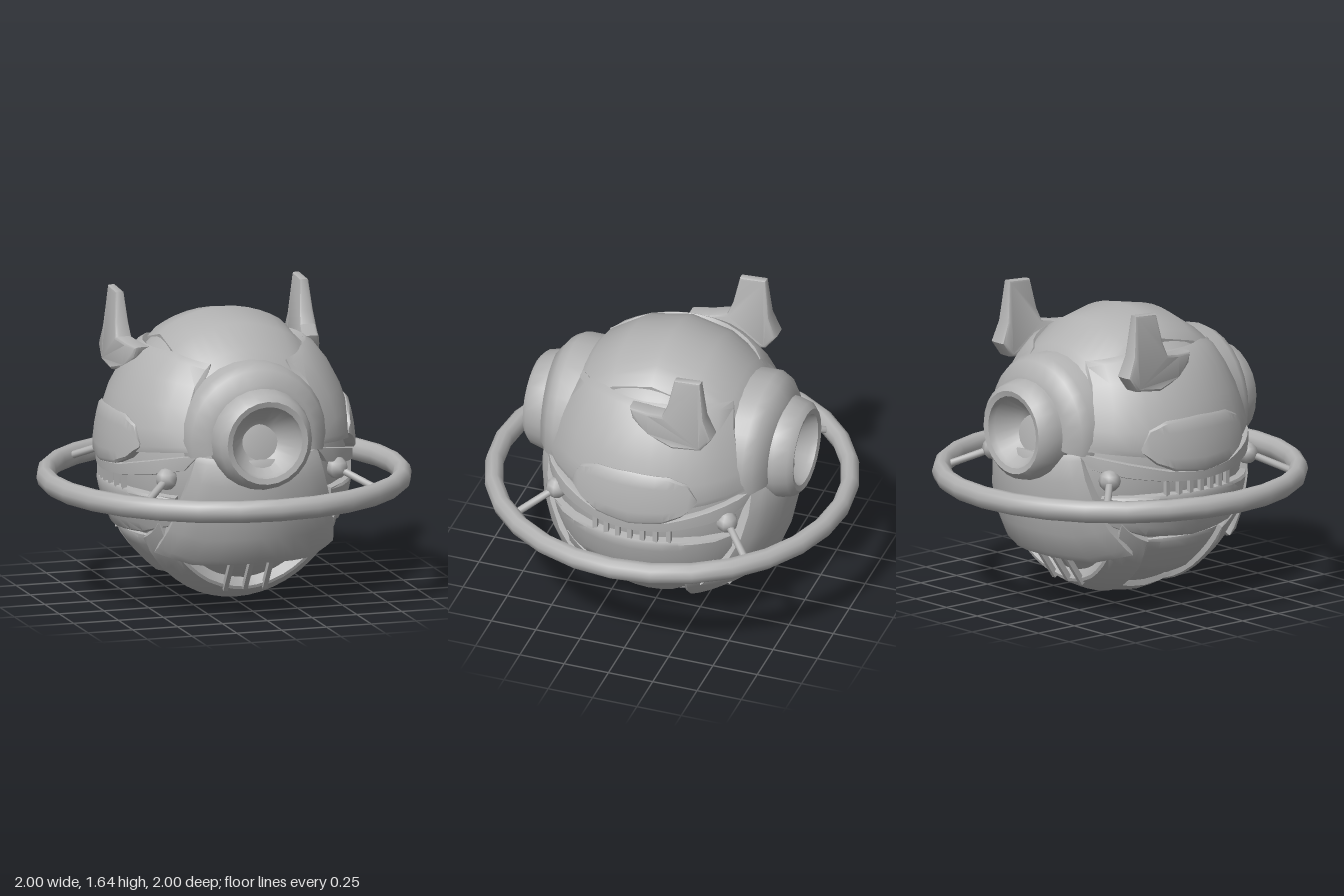
import * as THREE from 'three';
import { toCreasedNormals } from 'three/addons/utils/BufferGeometryUtils.js';

const C = new THREE.Vector3(0, 0.79, 0);          // body centre
const R = new THREE.Vector3(0.67, 0.77, 0.67);    // body radii
const V = (x, y, z) => new THREE.Vector3(x, y, z);

export function createModel() {
  const model = new THREE.Group();
  model.name = 'hoveringHead';
  const metal = new THREE.MeshStandardMaterial({ color: 0xb2b2b2 });
  metal.name = 'plain grey';

  const add = (name, geo, crease = 0.65) => {
    const mesh = new THREE.Mesh(toCreasedNormals(geo, crease), metal);
    mesh.name = name;
    model.add(mesh);
    return mesh;
  };

  // Closed skin through loops of points, capped at both ends and turned outward
  function loft(loops) {
    const mid = (l) => l.reduce((a, p) => a.add(p), V(0, 0, 0)).divideScalar(l.length);
    const n = loops[0].length;
    const first = mid(loops[0]), last = mid(loops[loops.length - 1]);
    const rings = [loops[0].map(() => first), ...loops, loops[0].map(() => last)];
    const pts = rings.flat(), idx = [];
    for (let i = 0; i < rings.length - 1; i++)
      for (let j = 0; j < n; j++) {
        const a = i * n + j, b = i * n + (j + 1) % n;
        if (i > 0) idx.push(a, b, a + n);
        if (i < rings.length - 2) idx.push(b, b + n, a + n);
      }
    let volume = 0;
    const o = first;
    for (let k = 0; k < idx.length; k += 3) {
      const [a, b, c] = [0, 1, 2].map((q) => pts[idx[k + q]].clone().sub(o));
      volume += a.dot(b.cross(c));
    }
    if (volume < 0) idx.reverse();
    const geo = new THREE.BufferGeometry().setFromPoints(pts);
    geo.setIndex(idx);
    return geo;
  }

  // Point on the body ellipsoid, found along an axis and scaled from the centre
  function onBody(axis, sign, u, v, s) {
    const p = axis === 'x' ? V(0, v - C.y, u) : axis === 'z' ? V(u, v - C.y, 0) : V(u, 0, v);
    const q = p.clone().divide(R);
    p[axis] = sign * R[axis] * Math.sqrt(Math.max(0, 1 - q.lengthSq()));
    return p.multiplyScalar(s).add(C);
  }

  // Armour plate between two edge curves, following the body
  function plate(name, axis, sign, upper, lower, s0, s1 = s0, depth = 0.1) {
    const loops = [], cols = (upper.length - 1) * 3;
    const at = (l, t) => {
      const i = Math.min(Math.floor(t), l.length - 2), f = t - i;
      return [0, 1].map((k) => l[i][k] + (l[i + 1][k] - l[i][k]) * f);
    };
    for (let c = 0; c <= cols; c++) {
      const a = at(upper, c / 3), b = at(lower, c / 3), loop = [];
      const rim = c === 0 || c === cols ? 0.015 : 0;
      const put = (t, off) => loop.push(onBody(axis, sign, a[0] + (b[0] - a[0]) * t,
        a[1] + (b[1] - a[1]) * t, s0 + (s1 - s0) * t - off));
      put(0, depth);
      put(0, 0.015);
      for (const t of [0.06, 0.25, 0.5, 0.75, 0.94]) put(t, rim);
      put(1, 0.015);
      put(1, depth);
      loops.push(loop);
    }
    add(name, loft(loops));
  }
  // Complete a half curve by mirroring its first coordinate
  const both = (half) => [...half, ...half.filter((p) => p[0] !== 0).reverse().map(([u, v]) => [-u, v])];

  // Core
  const core = new THREE.SphereGeometry(1, 32, 24);
  core.scale(R.x * 0.965, R.y * 0.965, R.z * 0.965).translate(0, C.y, 0);
  add('core', core, 1);

  // Crown and keel
  plate('crown', 'y', 1, both([[0.36, -0.45], [0.2, -0.47], [0, -0.47]]),
    both([[0.36, 0.43], [0.2, 0.46], [0, 0.46]]), 1.0);
  plate('keel', 'y', -1, both([[0.2, -0.2], [0, -0.2]]), both([[0.2, 0.2], [0, 0.2]]), 1.02);

  for (const s of [1, -1]) {
    // Side armour
    plate('upperSidePanel', 'x', s, both([[0.42, 1.34], [0.25, 1.38], [0, 1.38]]),
      both([[0.56, 0.9], [0.3, 0.87], [0, 0.86]]), 1.025);
    plate('sidePod', 'x', s, both([[0.34, 0.92], [0.29, 1.01], [0.2, 1.05], [0, 1.06]]),
      both([[0.34, 0.9], [0.27, 0.83], [0.18, 0.79], [0, 0.77]]), 1.045);
    plate('sideBrow', 'x', s, both([[0.58, 0.89], [0.4, 0.84], [0.2, 0.79], [0, 0.77]]),
      both([[0.54, 0.8], [0.4, 0.76], [0.2, 0.73], [0, 0.72]]), 1.02);
    plate('lowerSidePanel', 'x', s, both([[0.5, 0.65], [0.25, 0.66], [0, 0.66]]),
      both([[0.47, 0.5], [0.28, 0.43], [0, 0.41]]), 1.03);
    plate('sideBasePanel', 'x', s, both([[0.27, 0.39], [0, 0.39]]),
      both([[0.2, 0.17], [0, 0.14]]), 1.0);

    // Side vent bars
    for (let i = -3; i <= 3; i++) {
      const bar = new THREE.BoxGeometry(0.025, 0.08, 0.025);
      const p = onBody('x', s, i * 0.07, 0.69, 0.99);
      add('ventBar', bar.translate(p.x, p.y, p.z));
    }

    // Horned ears: side outline given thickness, leaning with the body
    const ear = new THREE.Shape([[0.06, 1.38], [-0.05, 1.385], [-0.14, 1.4], [-0.17, 1.47],
      [-0.205, 1.63], [-0.35, 1.64], [-0.375, 1.42], [-0.42, 1.31], [-0.36, 1.23],
      [-0.2, 1.21], [-0.05, 1.25], [0.04, 1.32]].map(([z, y]) => new THREE.Vector2(z, y)));
    const horn = new THREE.ExtrudeGeometry(ear, {
      depth: 1.2, steps: 1, bevelEnabled: true, bevelThickness: 0.4, bevelSize: 0.015,
      bevelOffset: -0.015, bevelSegments: 2 });
    const pos = horn.attributes.position;
    for (let i = 0; i < pos.count; i++) {
      const z = pos.getX(i), y = pos.getY(i), t = pos.getZ(i) - 0.6;
      const up = THREE.MathUtils.clamp((y - 1.3) / 0.34, 0, 1);
      const middle = y > 1.4 ? 0.515 : 0.515 - Math.max(0, z + 0.15) * 0.25;
      pos.setXYZ(i, s * (middle + t * (0.055 - 0.032 * up)), y, z);
    }
    // the remapping swaps two axes, so the right side keeps its order and the left is turned
    if (s > 0) {
      for (let i = 0; i < pos.count; i += 3) {
        const a = V().fromBufferAttribute(pos, i), b = V().fromBufferAttribute(pos, i + 1);
        pos.setXYZ(i, b.x, b.y, b.z);
        pos.setXYZ(i + 1, a.x, a.y, a.z);
      }
    }
    add('hornedEar', horn);

    // Face, the same at front and back
    plate('jawPlate', 'z', s, both([[0.34, 0.88], [0.17, 0.86], [0, 0.86]]),
      both([[0.46, 0.36], [0.3, 0.31], [0, 0.32]]), 1.01, 1.1, 0.12);
    plate('chinBand', 'y', -1,
      both([[0.48, s * 0.4], [0.36, s * 0.4], [0.2, s * 0.37], [0, s * 0.35]]),
      both([[0.52, s * 0.25], [0.4, s * 0.22], [0.2, s * 0.19], [0, s * 0.18]]), 1.05, 1.04);

    // Mouth bars
    for (const x of [-0.11, 0, 0.11]) {
      const bar = new THREE.BoxGeometry(0.025, 0.26, 0.03);
      bar.rotateX(s * 0.6).translate(x, 0.21, s * 0.43);
      add('mouthBar', bar);
    }

    // Arched collar around the eye
    const arch = [];
    for (let i = 0; i <= 16; i++) {
      const a = THREE.MathUtils.degToRad(-14 + (208 * i) / 16);
      const flat = 1 - 0.03 * Math.abs(Math.cos(a));
      arch.push([[0.23, 0.42], [0.23, 0.66], [0.3, 0.655], [0.37, 0.6], [0.395, 0.55], [0.395, 0.38]]
        .map(([r, z]) => V(Math.cos(a) * r, 0.965 + Math.sin(a) * r, s * z * flat)));
    }
    add('eyeCollar', loft(arch));

    // Eye with a deep conical socket
    const eye = new THREE.LatheGeometry([[0.275, 0.48], [0.275, 0.66], [0.255, 0.735],
      [0.225, 0.762], [0.195, 0.755], [0.185, 0.72], [0.1, 0.62], [0, 0.57]]
      .map(([r, y]) => new THREE.Vector2(r, y)), 24);
    eye.rotateX(s * Math.PI / 2).translate(0, 0.97, 0);
    add('eye', eye);
  }

  // Halo ring
  const ring = new THREE.TorusGeometry(0.95, 0.05, 10, 28);
  ring.rotateX(Math.PI / 2).scale(1, 1.2, 1).translate(0, 0.645, 0);
  add('haloRing', ring, 1);

  // Struts and their knobs
  for (const sx of [1, -1])
    for (const sz of [1, -1]) {
      const knob = new THREE.SphereGeometry(0.06, 8, 6);
      add('strutKnob', knob.translate(sx * 0.475, 0.75, sz * 0.48), 1);
      const path = new THREE.LineCurve3(V(sx * 0.475, 0.75, sz * 0.48), V(sx * 0.66, 0.65, sz * 0.66));
      add('strut', new THREE.TubeGeometry(path, 1, 0.02, 8), 1);
    }

  return model;
}
